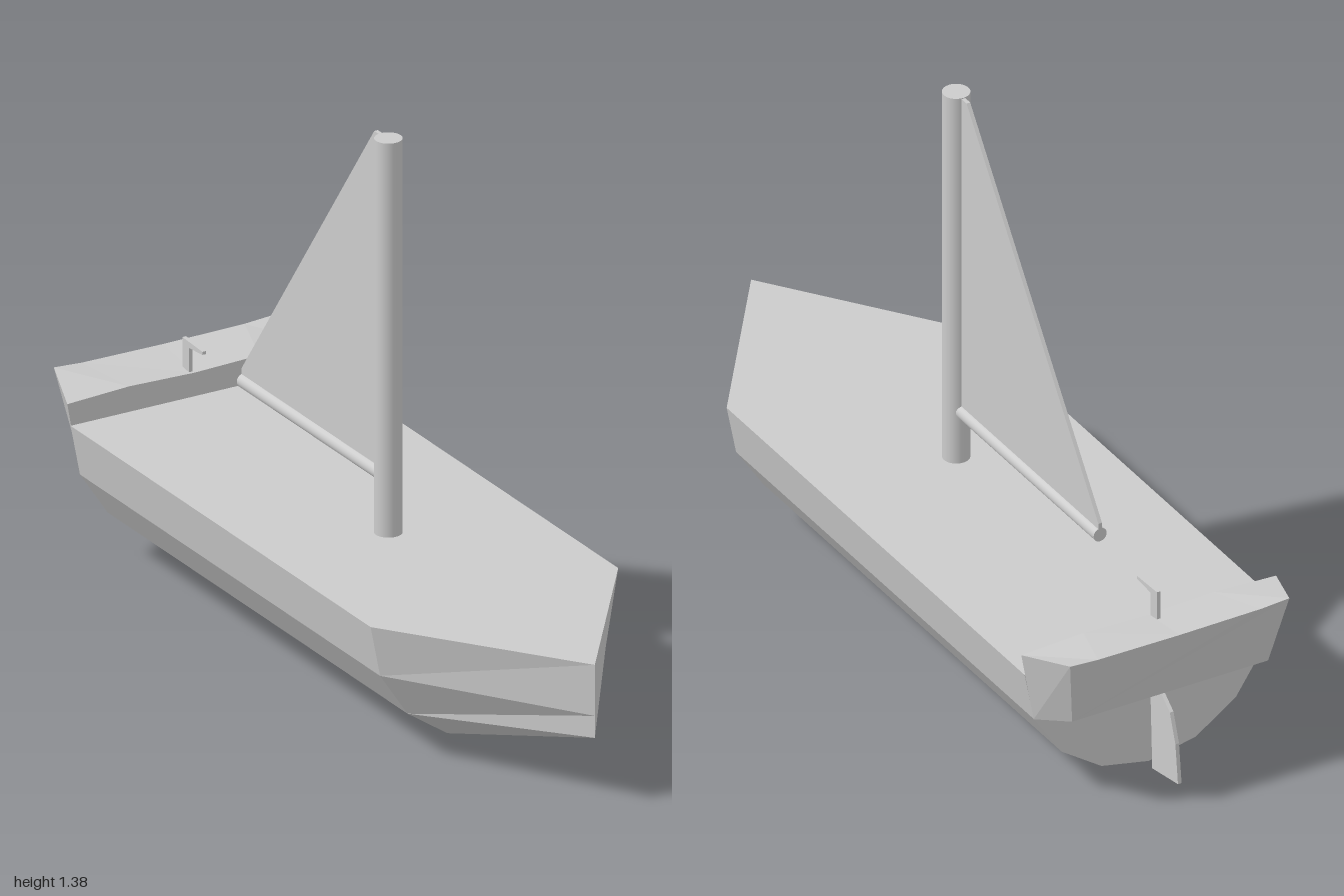
import * as THREE from 'three';

const material = new THREE.MeshStandardMaterial({ color: 0xcccccc });
const faceted = new THREE.MeshStandardMaterial({ color: 0xcccccc, flatShading: true });

function part(name, geometry, mat = material) {
  const mesh = new THREE.Mesh(geometry, mat);
  mesh.name = name;
  return mesh;
}

// Skin closed rings of points from stern to bow and cap both ends.
// Rings run clockwise when seen from +z.
function loft(rings) {
  const pos = [];
  const tri = (a, b, c) => {
    const area = new THREE.Triangle(a, b, c).getArea();
    if (area > 1e-7) for (const p of [a, b, c]) pos.push(p.x, p.y, p.z);
  };
  const n = rings[0].length;
  for (let r = 0; r < rings.length - 1; r++) {
    const back = rings[r], front = rings[r + 1];
    for (let i = 0; i < n; i++) {
      const j = (i + 1) % n;
      tri(back[i], front[i], front[j]);
      tri(back[i], front[j], back[j]);
    }
  }
  const first = rings[0], last = rings[rings.length - 1];
  for (let i = 1; i < n - 1; i++) {
    tri(first[0], first[i], first[i + 1]);
    tri(last[0], last[i + 1], last[i]);
  }
  const geometry = new THREE.BufferGeometry();
  geometry.setAttribute('position', new THREE.Float32BufferAttribute(pos, 3));
  geometry.computeVertexNormals();
  return geometry;
}

const ring = points => points.map(p => new THREE.Vector3(...p));

// Flat plate outlined in (z, y), with its thickness along x.
function plate(outline, thickness, x) {
  const shape = new THREE.Shape(outline.map(([z, y]) => new THREE.Vector2(z, y)));
  const geometry = new THREE.ExtrudeGeometry(shape, { depth: thickness, bevelEnabled: false });
  return geometry.translate(0, 0, -thickness / 2).rotateY(-Math.PI / 2).translate(x, 0, 0);
}

export function createModel() {
  const boat = new THREE.Group();
  boat.name = 'sailboat';

  // Hull: half section from deck edge to keel, mirrored, closing on the stem
  const half = [[0.342, 0.362], [0.316, 0.23], [0.24, 0.115], [0.13, 0.04], [0, 0.013]];
  const stem = [0.362, 0.23, 0.173, 0.173, 0.173];
  const station = (z, pts) => ring([
    ...pts.map(([x, y]) => [x, y, z]),
    ...pts.slice(0, -1).reverse().map(([x, y]) => [-x, y, z]),
  ]);
  boat.add(part('hull', loft([
    station(-0.855, half),
    station(0.535, half),
    station(1, stem.map(y => [0, y])),
  ]), faceted));

  // Raised stern block, flaring upward and aft
  boat.add(part('sternBlock', loft([
    ring([[0.27, 0.262, -0.955], [-0.27, 0.262, -0.955], [-0.302, 0.45, -1],
      [-0.225, 0.445, -1], [0, 0.443, -1], [0.225, 0.445, -1], [0.302, 0.45, -1]]),
    ring([[0.317, 0.23, -0.855], [-0.317, 0.23, -0.855], [-0.351, 0.42, -0.855],
      [-0.18, 0.428, -0.855], [0, 0.423, -0.855], [0.18, 0.428, -0.855], [0.351, 0.42, -0.855]]),
  ]), faceted));

  // Mast and boom
  const spar = -0.017;
  const mast = part('mast', new THREE.CylinderGeometry(0.034, 0.034, 1.03, 32));
  mast.position.set(spar, 0.867, 0.072);
  const boom = part('boom', new THREE.CylinderGeometry(0.018, 0.018, 0.66, 24));
  boom.rotation.x = Math.PI / 2;
  boom.position.set(spar, 0.503, -0.27);
  boat.add(mast, boom);

  // Sail
  boat.add(part('sail', plate(
    [[0.045, 0.51], [0.045, 1.38], [0.015, 1.38], [-0.6, 0.535], [-0.6, 0.51]], 0.01, spar)));

  // Rudder blade and cranked tiller
  boat.add(part('rudder', plate(
    [[-0.86, 0.25], [-0.9, 0.24], [-0.952, 0.2], [-0.978, 0.125], [-0.99, 0.02], [-0.87, 0]], 0.01, -0.006)));
  boat.add(part('tiller', plate(
    [[-0.862, 0.42], [-0.892, 0.42], [-0.892, 0.504], [-0.8, 0.5], [-0.8, 0.492], [-0.862, 0.487]], 0.01, -0.006)));

  return boat;
}
